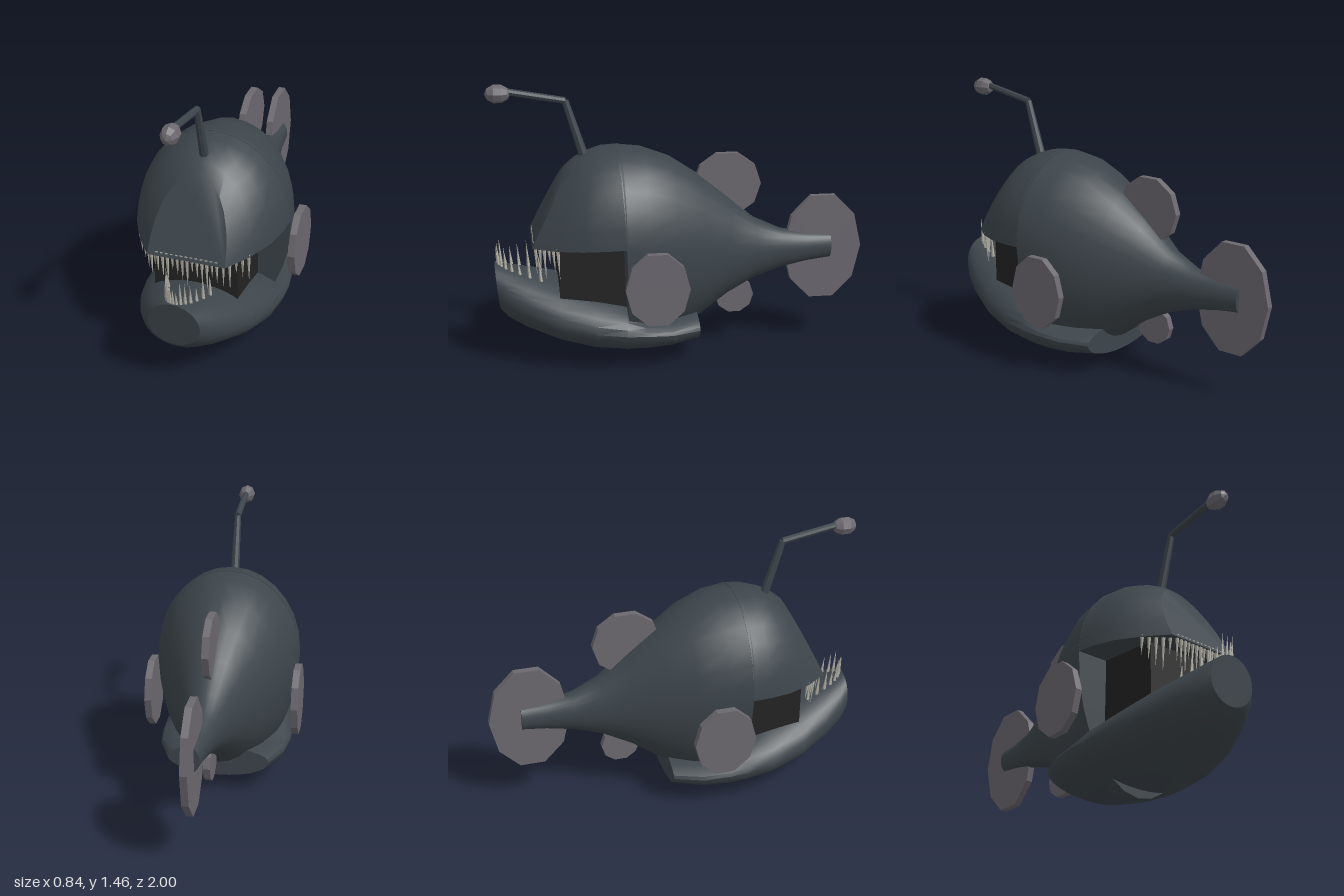
import * as THREE from 'three';
import { toCreasedNormals } from 'three/addons/utils/BufferGeometryUtils.js';

const SIDES = 28;

// Skin through egg-shaped rings, back to front.
// Ring: [z at bottom, z at top, half width, bottom y, y of widest point, top y]
function loft(rings) {
  const pos = [], index = [];
  for (const [zb, zt, w, bot, mid, top] of rings) {
    for (let j = 0; j < SIDES; j++) {
      const a = (j / SIDES) * Math.PI * 2, s = Math.sin(a);
      const y = mid + s * (s > 0 ? top - mid : mid - bot);
      pos.push(Math.cos(a) * w, y, zb + (zt - zb) * (y - bot) / (top - bot));
    }
  }
  for (let i = 0; i < rings.length - 1; i++) {
    for (let j = 0; j < SIDES; j++) {
      const a = i * SIDES + j, b = i * SIDES + (j + 1) % SIDES;
      index.push(a, b, a + SIDES, b, b + SIDES, a + SIDES);
    }
  }
  // flat ends
  const last = (rings.length - 1) * SIDES;
  for (let j = 1; j < SIDES - 1; j++) {
    index.push(0, j + 1, j, last, last + j, last + j + 1);
  }
  const g = new THREE.BufferGeometry();
  g.setAttribute('position', new THREE.Float32BufferAttribute(pos, 3));
  g.setIndex(index);
  return toCreasedNormals(g, 0.5);
}

export function createModel() {
  const model = new THREE.Group();
  model.name = 'anglerfish';
  const material = (name, color, flatShading = false) => {
    const m = new THREE.MeshStandardMaterial({ color, flatShading });
    m.name = name;
    return m;
  };
  const skin = material('slate skin', 0x3d454b);
  const finGrey = material('fin grey', 0x6b686f, true);
  const mouthBlack = material('mouth black', 0x232323);
  const ivory = material('tooth ivory', 0xb0aea4, true);

  const add = (name, geometry, mat, parent = model) => {
    const mesh = new THREE.Mesh(geometry, mat);
    mesh.name = name;
    parent.add(mesh);
    return mesh;
  };

  // Body from tail stalk to the corner of the mouth
  add('body', loft([
    [-0.83, -0.83, 0.045, 0.465, 0.53, 0.6],
    [-0.7, -0.7, 0.055, 0.45, 0.53, 0.61],
    [-0.55, -0.55, 0.08, 0.42, 0.535, 0.64],
    [-0.4, -0.4, 0.12, 0.37, 0.54, 0.71],
    [-0.25, -0.25, 0.185, 0.29, 0.55, 0.84],
    [-0.1, -0.1, 0.26, 0.18, 0.57, 0.96],
    [0.05, 0.05, 0.33, 0.09, 0.61, 1.06],
    [0.2, 0.2, 0.38, 0.03, 0.65, 1.115],
    [0.3, 0.34, 0.395, 0.003, 0.675, 1.13],
  ]), skin);

  // Upper head, flat underneath, with a sloping face
  add('upperHead', loft([
    [0.32, 0.32, 0.395, 0.675, 0.675, 1.13],
    [0.42, 0.41, 0.385, 0.67, 0.67, 1.125],
    [0.54, 0.49, 0.355, 0.662, 0.662, 1.1],
    [0.67, 0.55, 0.29, 0.652, 0.652, 1.07],
    [0.79, 0.6, 0.2, 0.645, 0.645, 1.03],
  ]), skin);

  // Heavy lower jaw
  add('lowerJaw', loft([
    [-0.07, -0.07, 0.28, 0.085, 0.18, 0.255],
    [0.08, 0.08, 0.345, 0.06, 0.185, 0.262],
    [0.22, 0.22, 0.365, 0.048, 0.195, 0.275],
    [0.32, 0.32, 0.365, 0.05, 0.2, 0.345],
    [0.48, 0.48, 0.35, 0.065, 0.215, 0.39],
    [0.66, 0.66, 0.305, 0.11, 0.255, 0.435],
    [0.82, 0.82, 0.235, 0.17, 0.315, 0.475],
    [0.92, 0.93, 0.175, 0.225, 0.36, 0.505],
    [0.96, 0.985, 0.135, 0.268, 0.39, 0.52],
  ]), skin);

  // Dark throat block
  add('mouthInterior', new THREE.BoxGeometry(0.44, 0.38, 0.36), mouthBlack)
    .position.set(0, 0.485, 0.475);

  // Needle teeth: tip is above or below the root
  const teeth = new THREE.Group();
  teeth.name = 'teeth';
  model.add(teeth);
  const up = new THREE.Vector3(0, 1, 0);
  const tooth = (name, root, tip) => {
    const dir = tip.clone().sub(root), len = dir.length();
    const m = add(name, new THREE.ConeGeometry(0.011, len, 5), ivory, teeth);
    m.position.copy(root).add(tip).multiplyScalar(0.5);
    m.quaternion.setFromUnitVectors(up, dir.normalize());
  };
  const upper = 23, lower = 15;
  for (let i = 0; i < upper; i++) {
    const t = (i / (upper - 1)) * 2 - 1, x = 0.28 * t;
    const z = 0.775 - 0.11 * Math.max(0, Math.abs(t) - 0.55) / 0.45;
    const len = 0.09 + 0.03 * ((i * 5) % 4);
    tooth('upperTooth', new THREE.Vector3(x, 0.665, z), new THREE.Vector3(x, 0.65 - len, z - 0.01));
  }
  for (let i = 0; i < lower; i++) {
    const t = (i / (lower - 1)) * 2 - 1, x = 0.11 * t;
    const z = 0.965 - 0.22 * t * t, y = 0.49 - 0.06 * t * t;
    const len = 0.1 + 0.02 * ((i * 3) % 4);
    tooth('lowerTooth', new THREE.Vector3(x, y, z), new THREE.Vector3(x, y + len, z + 0.012));
  }

  // Ten-sided disc fins lying in the plane of the body
  const fin = (name, x, y, z, ry, rz) => {
    const g = new THREE.CylinderGeometry(1, 1, 0.037, 10);
    g.rotateZ(Math.PI / 2);
    g.scale(1, ry / 0.951, rz);
    // corners point fore and aft
    add(name, g, finGrey).position.set(x, y, z);
  };
  fin('tailFin', 0, 0.53, -0.785, 0.287, 0.215);
  fin('dorsalFin', 0, 0.9, -0.255, 0.168, 0.182);
  fin('analFin', 0, 0.277, -0.3, 0.097, 0.105);
  for (const side of [1, -1]) {
    fin(side > 0 ? 'leftPectoralFin' : 'rightPectoralFin', side * 0.402, 0.463, 0.17, 0.188, 0.165);
  }

  // Bent lure rod and its bulb
  const rod = (name, a, b, ra, rb) => {
    const dir = b.clone().sub(a);
    const m = add(name, toCreasedNormals(new THREE.CylinderGeometry(rb, ra, dir.length(), 8), 0.5), skin);
    m.position.copy(a).add(b).multiplyScalar(0.5);
    m.quaternion.setFromUnitVectors(up, dir.normalize());
  };
  const bend = new THREE.Vector3(0, 1.37, 0.592);
  rod('lureStalk', new THREE.Vector3(0, 1.06, 0.497), bend, 0.025, 0.018);
  rod('lureTip', bend, new THREE.Vector3(0, 1.425, 0.9), 0.018, 0.018);
  const bulb = new THREE.SphereGeometry(1, 8, 5);
  bulb.rotateX(Math.PI / 2);
  bulb.scale(0.046, 0.05, 0.066);
  add('lureBulb', bulb, finGrey).position.set(0, 1.413, 0.934);

  return model;
}
